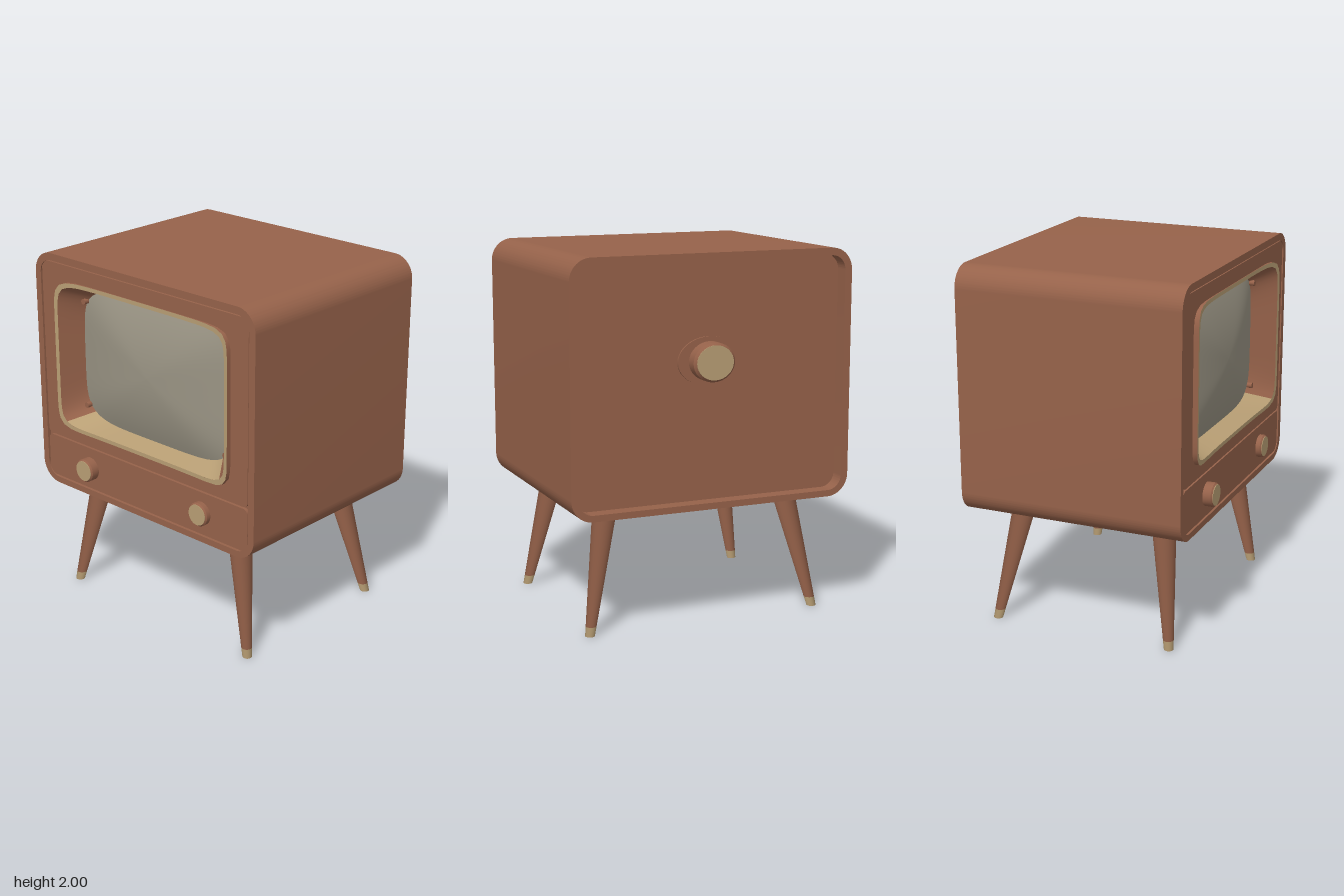
import * as THREE from 'three';
import { toCreasedNormals } from 'three/addons/utils/BufferGeometryUtils.js';

const mat = (name, color) => Object.assign(new THREE.MeshStandardMaterial({ color }), { name });

// Rounded rectangle outline, given by its edges
function roundedRect(x0, x1, y0, y1, r, Type = THREE.Shape) {
  const s = new Type();
  s.moveTo(x0 + r, y0);
  s.lineTo(x1 - r, y0);
  s.absarc(x1 - r, y0 + r, r, -Math.PI / 2, 0);
  s.lineTo(x1, y1 - r);
  s.absarc(x1 - r, y1 - r, r, 0, Math.PI / 2);
  s.lineTo(x0 + r, y1);
  s.absarc(x0 + r, y1 - r, r, Math.PI / 2, Math.PI);
  s.lineTo(x0, y0 + r);
  s.absarc(x0 + r, y0 + r, r, Math.PI, Math.PI * 1.5);
  return s;
}

// Slab between two depths, with smooth corners
function slab(shape, z0, z1) {
  const g = new THREE.ExtrudeGeometry(shape, { depth: z1 - z0, bevelEnabled: false, curveSegments: 16 });
  g.translate(0, 0, z0);
  return toCreasedNormals(g, 0.5);
}

// Superellipse ring around the screen centre; z is a rule of x
const SCREEN_Y = 1.44;
const ring = (hx, hy, n, z) => (t) => {
  const c = Math.cos(t), s = Math.sin(t);
  const r = (Math.abs(c) ** n + Math.abs(s) ** n) ** (-1 / n);
  const x = hx * c * r;
  return [x, SCREEN_Y + hy * s * r, z(x)];
};

// Surface through a list of rings, over an arc
function loft(rings, t0 = 0, t1 = Math.PI * 2, seg = 96) {
  const pos = [], idx = [], w = seg + 1;
  for (const f of rings) for (let i = 0; i <= seg; i++) pos.push(...f(t0 + (t1 - t0) * i / seg));
  for (let j = 0; j < rings.length - 1; j++) {
    for (let i = 0; i < seg; i++) {
      const a = j * w + i, c = a + w;
      idx.push(a, a + 1, c, a + 1, c + 1, c);
    }
  }
  const g = new THREE.BufferGeometry();
  g.setAttribute('position', new THREE.Float32BufferAttribute(pos, 3));
  g.setIndex(idx);
  g.computeVertexNormals();
  return g;
}

export function createModel() {
  const model = new THREE.Group();
  model.name = 'television';
  const wood = mat('brown wood', 0x96624a);
  const tan = mat('tan trim', 0xb89e74);
  const glass = mat('grey glass', 0x9a9484);

  const add = (name, geometry, material, parent = model) => {
    const m = new THREE.Mesh(geometry, material);
    m.name = name;
    parent.add(m);
    return m;
  };

  // Cabinet shell, open at front and back
  const shell = roundedRect(-0.8, 0.8, 0.65, 2, 0.12);
  shell.holes.push(roundedRect(-0.76, 0.76, 0.685, 1.96, 0.08, THREE.Path));
  add('cabinetShell', slab(shell, -0.655, 0.605), wood);

  // Recessed back panel
  add('backPanel', slab(roundedRect(-0.77, 0.77, 0.675, 1.97, 0.08), -0.575, -0.55), wood);

  // Front: a sunken board with two raised panels, leaving thin grooves
  const opening = () => roundedRect(-0.615, 0.615, 1.03, 1.85, 0.05, THREE.Path);
  const board = roundedRect(-0.77, 0.77, 0.675, 1.97, 0.08);
  board.holes.push(opening());
  add('frontBoard', slab(board, 0.55, 0.582), wood);

  const upper = roundedRect(-0.752, 0.752, 0.944, 1.952, 0.03);
  upper.holes.push(opening());
  add('upperFrontPanel', slab(upper, 0.58, 0.6), wood);
  add('lowerFrontPanel', slab(roundedRect(-0.752, 0.752, 0.693, 0.934, 0.03), 0.58, 0.6), wood);

  // Screen surround: rim bowed forward at the sides, then sloping walls
  const rimZ = (x) => 0.604 + 0.024 * (x / 0.635) ** 4;
  const outerBack = ring(0.635, 0.43, 11, () => 0.58);
  const outerFront = ring(0.635, 0.43, 11, rimZ);
  const innerFront = ring(0.612, 0.408, 11, rimZ);
  const innerDeep = ring(0.545, 0.382, 5, () => 0.48);
  add('surroundEdge', loft([outerBack, outerFront]), wood);
  add('surroundRim', loft([outerFront, innerFront]), tan);
  const q = Math.PI / 4;
  add('surroundWalls', loft([innerFront, innerDeep], -q, 5 * q), wood);
  add('surroundSill', loft([innerFront, innerDeep], 5 * q, 7 * q, 32), tan);

  // Bulging screen
  const domes = [];
  for (let k = 0; k <= 10; k++) {
    const s = 1.01 * (1 - k / 10) + 0.0005;
    domes.push(ring(0.545 * s, 0.382 * s, 5, () => 0.56 - 0.07 * s * s));
  }
  add('screen', loft(domes), glass);

  // Screws at the screen corners
  for (const sx of [-1, 1]) for (const sy of [-1, 1]) {
    const screw = add('screenScrew', new THREE.CylinderGeometry(0.016, 0.016, 0.05, 12), wood);
    screw.rotation.x = Math.PI / 2;
    screw.position.set(sx * 0.52, SCREEN_Y + sy * 0.3, 0.495);
  }

  // Knob along +z from its base: turned body and a tan face plate
  const knob = (name, r, length) => {
    const g = new THREE.Group();
    g.name = name;
    const b = r * 0.12;
    const profile = [[0, 0], [r, 0], [r, length - b], [r - b, length], [0, length]];
    const body = new THREE.LatheGeometry(profile.map(([x, y]) => new THREE.Vector2(x, y)), 32);
    body.rotateX(Math.PI / 2);
    add('knobBody', toCreasedNormals(body, 0.5), wood, g);
    const face = new THREE.CylinderGeometry(r - b, r - b, 0.004, 32).rotateX(Math.PI / 2);
    add('knobFace', face, tan, g).position.z = length + 0.001;
    model.add(g);
    return g;
  };
  knob('rightKnob', 0.065, 0.055).position.set(-0.415, 0.815, 0.598);
  knob('leftKnob', 0.065, 0.035).position.set(0.43, 0.815, 0.598);

  // Rear knob on an oval plate
  const rear = knob('rearKnob', 0.11, 0.082);
  rear.scale.set(1.08, 0.95, 1);
  rear.rotation.y = Math.PI;
  rear.position.set(0, 1.43, -0.575);
  const plate = add('rearKnobPlate', new THREE.CylinderGeometry(1, 1, 0.016, 40), wood);
  plate.rotation.x = Math.PI / 2;
  plate.scale.set(0.18, 1, 0.13);
  plate.position.set(0, 1.43, -0.577);

  // Splayed tapered legs with tan tips, feet kept level by shearing
  const legPart = (y0, y1, sx, footZ, topZ) => {
    const radius = (y) => 0.026 + 0.04 * y / 0.65;
    const g = new THREE.CylinderGeometry(radius(y1), radius(y0), y1 - y0, 24);
    g.translate(0, (y0 + y1) / 2, 0);
    const p = g.attributes.position;
    for (let i = 0; i < p.count; i++) {
      const t = p.getY(i) / 0.65;
      p.setX(i, p.getX(i) + sx * (0.66 - 0.133 * t));
      p.setZ(i, p.getZ(i) + footZ + (topZ - footZ) * t);
    }
    return g;
  };
  for (const sx of [-1, 1]) {
    for (const [name, footZ, topZ] of [['front', 0.49, 0.405], ['back', -0.53, -0.415]]) {
      add(name + 'Leg', legPart(0.05, 0.67, sx, footZ, topZ), wood);
      add(name + 'LegTip', legPart(0, 0.05, sx, footZ, topZ), tan);
    }
  }
  return model;
}
